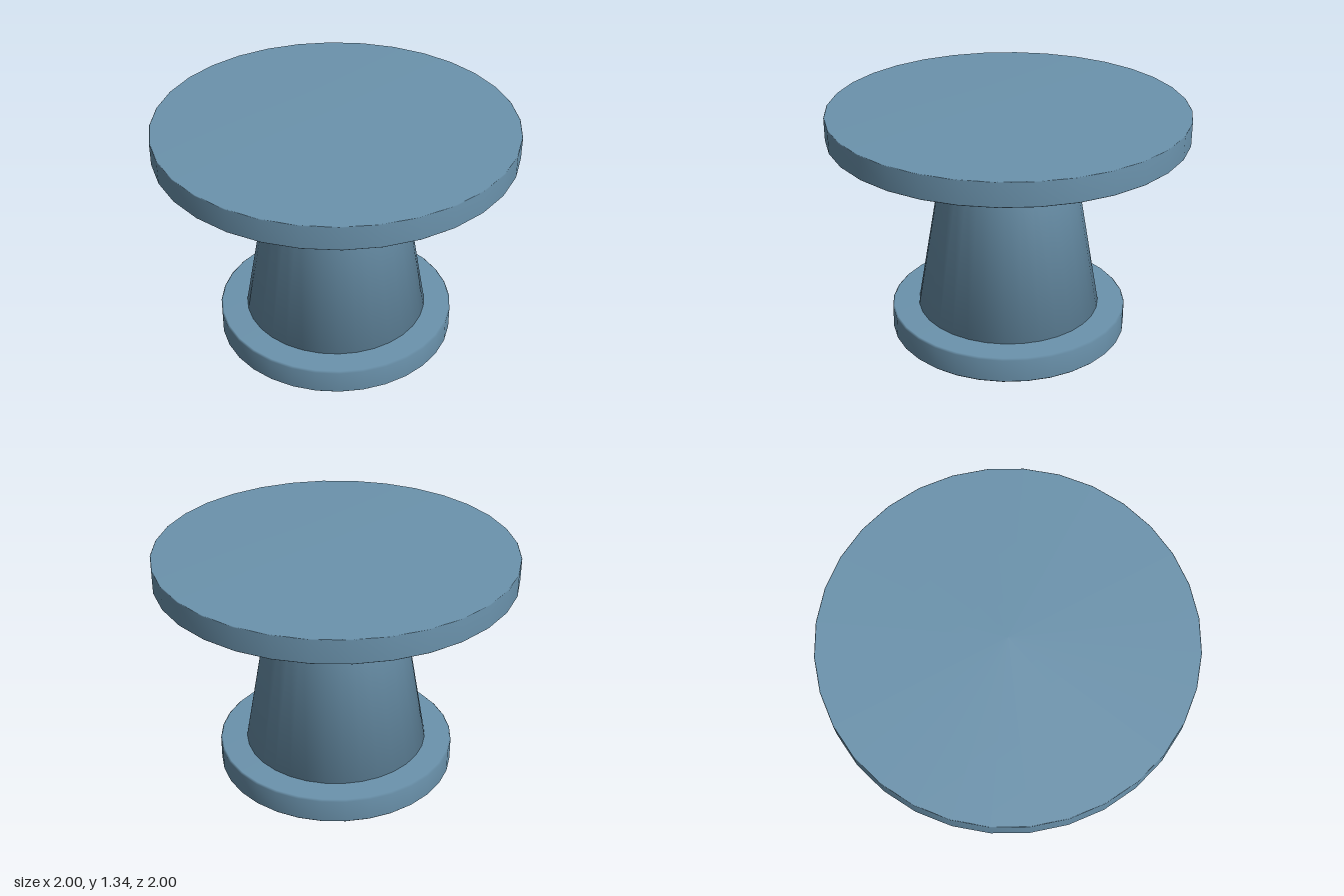
import * as THREE from 'three';

const material = new THREE.MeshStandardMaterial({ color: 0x6b93ad });

// Round part turned from a profile of [radius, height] points, bottom to top
function turned(name, profile) {
  const points = profile.map(([r, y]) => new THREE.Vector2(r, y));
  const mesh = new THREE.Mesh(new THREE.LatheGeometry(points, 32), material);
  mesh.name = name;
  return mesh;
}

// Profile of a disc with slightly eased edges
function disc(radius, bottom, top, bevel) {
  return [
    [0, bottom], [radius - bevel, bottom], [radius, bottom + bevel],
    [radius, top - bevel], [radius - bevel, top], [0, top],
  ];
}

export function createModel() {
  const group = new THREE.Group();
  group.name = 'pedestalTable';

  // Wide foot on the ground
  group.add(turned('base', disc(0.68, 0, 0.15, 0.01)));

  // Tapered column with a rounded shoulder, set into the foot
  group.add(turned('column', [
    [0, 0.13], [0.529, 0.13], [0.358, 1.11], [0.332, 1.155], [0.28, 1.175], [0, 1.175],
  ]));

  // Top disc, floating just above the column
  group.add(turned('tabletop', disc(1, 1.2, 1.335, 0.004)));

  return group;
}
